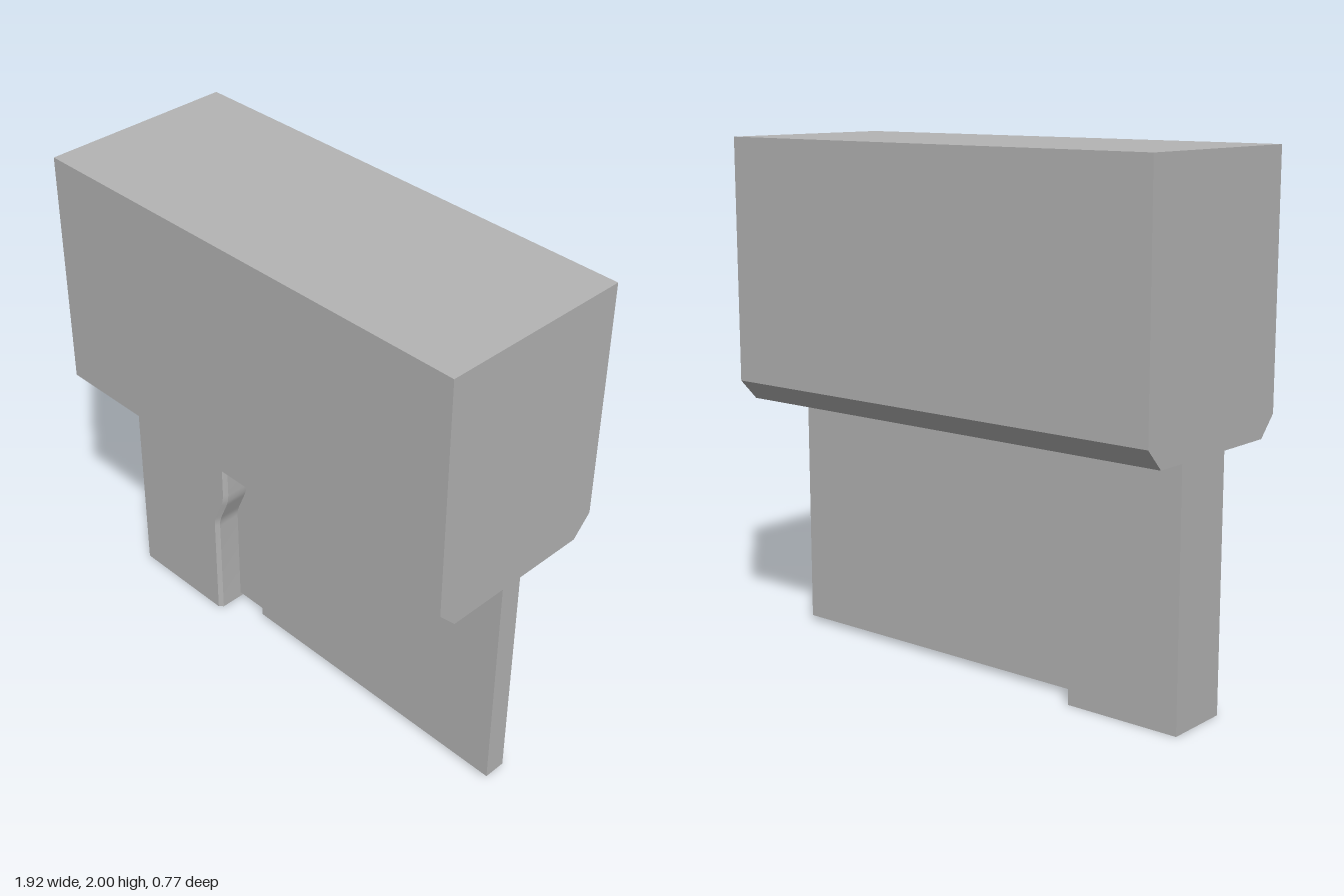
import * as THREE from 'three';
import { toCreasedNormals } from 'three/addons/utils/BufferGeometryUtils.js';

// Closed shape from a list of [x, y] points
function outline(points) {
  return new THREE.Shape(points.map(([x, y]) => new THREE.Vector2(x, y)));
}

export function createModel() {
  const model = new THREE.Group();
  const gray = new THREE.MeshStandardMaterial({ color: 0xb4b4b4 });
  gray.name = 'gray';

  function add(name, geometry) {
    const mesh = new THREE.Mesh(geometry, gray);
    mesh.name = name;
    model.add(mesh);
  }

  // Large upper block with chamfered lower long edges, extruded along x
  const head = new THREE.ExtrudeGeometry(outline([
    [-0.31, 0.98], [0.31, 0.98], [0.385, 1.06], [0.385, 2], [-0.385, 2], [-0.385, 1.06],
  ]), { depth: 1.925, bevelEnabled: false });
  head.rotateY(Math.PI / 2).translate(-0.9625, 0, 0);
  add('upperBlock', head);

  // Thick post whose inner edge follows a soft S-bend
  const post = new THREE.ExtrudeGeometry(outline([
    [-0.925, 0], [-0.457, 0], [-0.457, 0.44], [-0.455, 0.465], [-0.447, 0.49],
    [-0.412, 0.57], [-0.402, 0.597], [-0.398, 0.63], [-0.398, 0.98], [-0.925, 0.98],
  ]), { depth: 0.26, steps: 2, bevelEnabled: false });
  post.translate(0, 0, -0.13);

  // Narrow chamfer along the front of the inner edge
  const pos = post.attributes.position;
  for (let i = 0; i < pos.count; i++) {
    const z = pos.getZ(i);
    if (Math.abs(z) < 0.01) pos.setZ(i, 0.115);
    else if (z > 0.12 && pos.getX(i) > -0.6) pos.setX(i, pos.getX(i) - 0.015);
  }
  add('post', toCreasedNormals(post, 0.45));

  // Thin panel with a recessed front strip beside the post
  const panel = new THREE.ExtrudeGeometry(outline([
    [-0.6, 0.045], [-0.6, -0.02], [-0.3, -0.02], [-0.293, -0.045],
    [0.945, -0.045], [0.945, 0.045],
  ]), { depth: 0.96, bevelEnabled: false });
  panel.rotateX(-Math.PI / 2);
  // Shape y maps to -z, so the recess faces the front
  panel.translate(0, 0.02, 0);
  add('panel', panel);

  return model;
}
